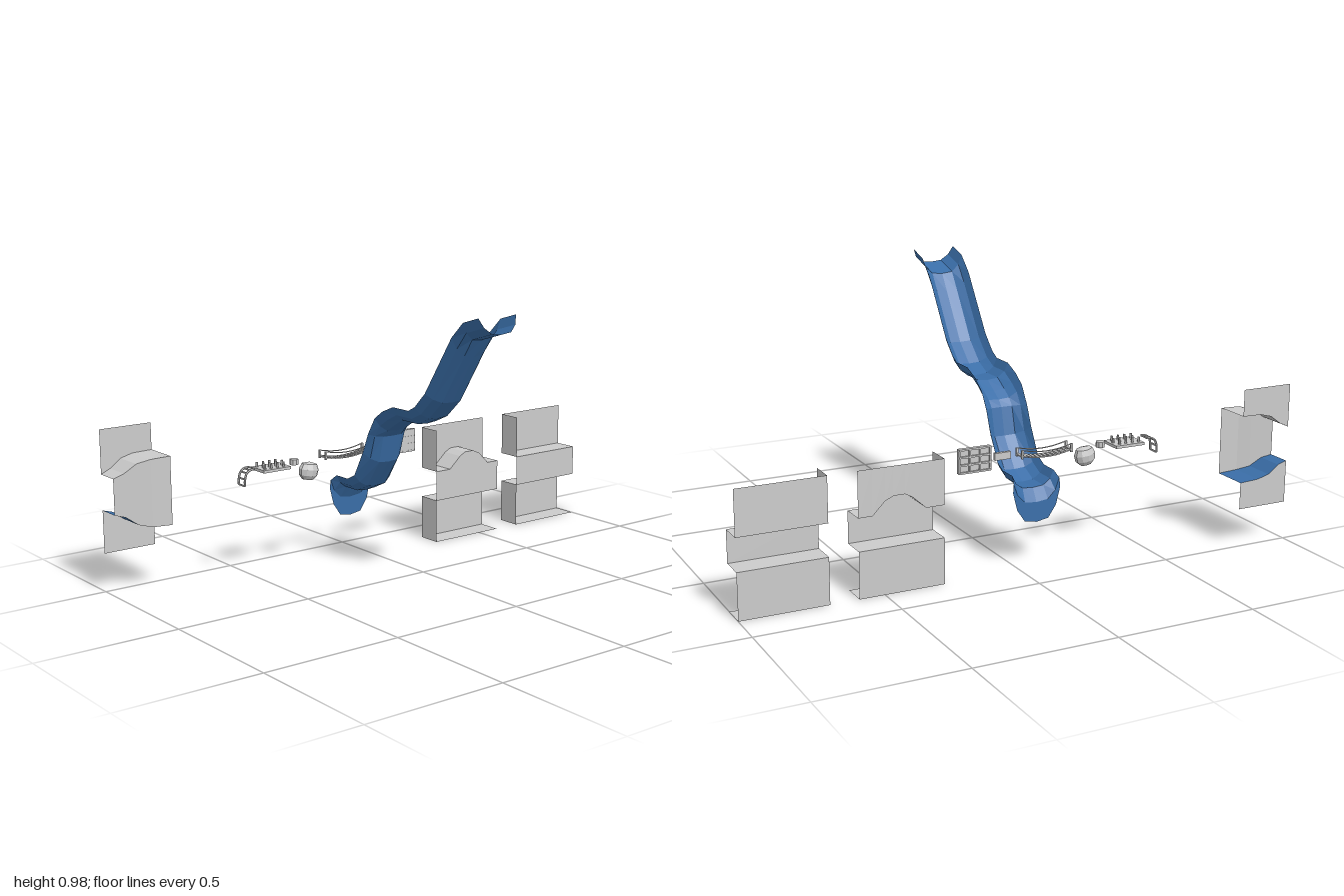
import * as THREE from 'three';

const material = (color) => new THREE.MeshStandardMaterial({ color, flatShading: true, side: THREE.DoubleSide });
const grey = material(0xcccccc);
const blue = material(0x3a6ea8);

// Surface through rows of points (all rows equally long)
function sheet(name, rows, mat = grey) {
  const n = rows[0].length, index = [];
  for (let r = 0; r < rows.length - 1; r++) {
    for (let c = 0; c < n - 1; c++) {
      const a = r * n + c, b = a + n;
      index.push(a, a + 1, b, a + 1, b + 1, b);
    }
  }
  const geo = new THREE.BufferGeometry();
  geo.setAttribute('position', new THREE.Float32BufferAttribute(rows.flat(2), 3));
  geo.setIndex(index);
  geo.computeVertexNormals();
  const mesh = new THREE.Mesh(geo, mat);
  mesh.name = name;
  return mesh;
}

function add(parent, name, geo, x, y, z) {
  const mesh = new THREE.Mesh(geo, grey);
  mesh.name = name;
  mesh.position.set(x, y, z);
  parent.add(mesh);
  return mesh;
}
const box = (parent, name, w, h, d, x, y, z) => add(parent, name, new THREE.BoxGeometry(w, h, d), x, y, z);

function tube(parent, name, points, radius) {
  const curve = new THREE.CatmullRomCurve3(points.map((p) => new THREE.Vector3(...p)));
  return add(parent, name, new THREE.TubeGeometry(curve, 12, radius, 6), 0, 0, 0);
}

function group(parent, name) {
  const g = new THREE.Group();
  g.name = name;
  parent.add(g);
  return g;
}

// Open wavy chute: each station gives rim z, y, bottom z, y and a width factor
function buildSlide(parent) {
  const stations = [
    [0.475, 0.98, 0.499, 0.924, 1], [0.4, 0.958, 0.4, 0.895, 1], [0.342, 0.903, 0.36, 0.834, 1],
    [0.203, 0.698, 0.25, 0.666, 1], [0.148, 0.644, 0.177, 0.6, 1], [0.113, 0.626, 0.113, 0.572, 1],
    [0.028, 0.626, 0.028, 0.572, 1], [-0.031, 0.602, -0.02, 0.543, 1], [-0.078, 0.57, -0.057, 0.52, 1],
    [-0.118, 0.506, -0.078, 0.498, 1], [-0.15, 0.434, -0.102, 0.4, 1], [-0.201, 0.343, -0.177, 0.298, 1],
    [-0.244, 0.322, -0.238, 0.27, 1], [-0.312, 0.322, -0.312, 0.27, 1],
    // hanging lip at the exit
    [-0.338, 0.3, -0.338, 0.225, 1.1], [-0.34, 0.27, -0.34, 0.155, 1.14],
  ];
  const profile = [[-0.08, 0], [-0.066, 0.55], [-0.04, 0.93], [0, 1], [0.04, 0.93], [0.066, 0.55], [0.08, 0]];
  const rows = stations.map(([rz, ry, bz, by, w]) => profile.map(([x, t]) =>
    [-0.075 + x * w, ry + (by - ry) * t, rz + (bz - rz) * t]));
  parent.add(sheet('slide', rows, blue));
}

// Stepped wall: the middle band stands forward; its upper edge follows top
function buildWall(parent, name, top) {
  const g = group(parent, name), back = -0.365, front = -0.275;
  const rows = top.map(([x, y]) => [
    [x, 0, front], [x, 0, back], [x, 0.163, back], [x, 0.163, front],
    [x, y, front], [x, y, back], [x, 0.436, back],
  ]);
  g.add(sheet('steppedPanel', rows));
  const x = top[0][0];
  for (const [y0, y1] of [[0, 0.163], [0.277, 0.436]]) {
    g.add(sheet('endWall', [[[x, y0, back], [x, y0, front]], [[x, y1, back], [x, y1, front]]]));
  }
}

// Wall whose forward band narrows towards one side
function buildTaperedWall(parent) {
  const g = group(parent, 'taperedWall'), back = -0.497;
  // x, band bottom, band top, band front
  const s = [[-1, 0.29, 0.416, -0.41], [-0.965, 0.28, 0.432, -0.398], [-0.925, 0.25, 0.462, -0.385],
    [-0.88, 0.238, 0.474, -0.369], [-0.805, 0.234, 0.476, -0.367]];
  g.add(sheet('lowerPanel', s.map(([x, a]) => [[x, 0.137, back], [x, a, back]])));
  g.add(sheet('lowerLedge', s.map(([x, a, b, z]) => [[x, a, back], [x, a, z]]), blue));
  g.add(sheet('upperPanels', s.map(([x, a, b, z]) =>
    [[x, a, z], [x, b, z], [x, b, back], [x, 0.572, back]])));
}

// Sagging plank bridge with rope rails
function buildBridge(parent) {
  const g = group(parent, 'plankBridge');
  const x0 = -0.205, x1 = -0.015, planks = 13;
  const at = (t) => [x0 + (x1 - x0) * t, 0.397 - 0.05 * t * (1 - t)];
  for (let i = 0; i < planks; i++) {
    const [x, y] = at(i / (planks - 1));
    box(g, 'plank', 0.01, 0.005, 0.036, x, y, -0.326);
  }
  for (const z of [-0.345, -0.307]) {
    for (const lift of [0, 0.02]) {
      tube(g, 'rope', [0, 0.25, 0.5, 0.75, 1].map((t) => [at(t)[0], at(t)[1] + lift, z]), 0.002);
    }
    for (const x of [x0, x1]) box(g, 'post', 0.007, 0.03, 0.007, x, 0.403, z);
  }
}

// Curved ladder bending over at the top
function buildLadder(parent) {
  const g = group(parent, 'curvedLadder');
  const pts = [[-0.549, 0.342], [-0.548, 0.366], [-0.54, 0.387], [-0.526, 0.396], [-0.508, 0.398]];
  for (const z of [-0.347, -0.307]) tube(g, 'rail', pts.map(([x, y]) => [x, y, z]), 0.004);
  for (const [x, y] of pts) box(g, 'rung', 0.005, 0.005, 0.04, x, y, -0.327);
}

// Thin plate with scattered pegs
function buildPegBoard(parent) {
  const g = group(parent, 'pegBoard');
  box(g, 'plate', 0.113, 0.01, 0.084, -0.427, 0.387, -0.326);
  for (let row = 0; row < 3; row++) {
    for (let i = 0; i < 4; i++) {
      add(g, 'peg', new THREE.CylinderGeometry(0.004, 0.005, 0.018, 6),
        -0.47 + i * 0.026 + (row % 2) * 0.01, 0.4, -0.352 + row * 0.026);
    }
  }
}

// Framed climbing panel with a short connecting board
function buildClimbingPanel(parent) {
  const g = group(parent, 'climbingPanel');
  box(g, 'panel', 0.118, 0.084, 0.008, 0.156, 0.404, -0.324);
  for (const y of [0.364, 0.391, 0.418, 0.444]) box(g, 'crossBar', 0.118, 0.006, 0.016, 0.156, y, -0.327);
  for (const x of [0.099, 0.137, 0.175, 0.213]) box(g, 'upright', 0.006, 0.084, 0.014, x, 0.404, -0.327);
  box(g, 'shortBoard', 0.06, 0.025, 0.012, 0.05, 0.403, -0.324);
}

// Rounded tub with a small drum beside it
function buildTub(parent) {
  const g = group(parent, 'tub');
  const profile = [[0, -0.033], [0.022, -0.031], [0.036, -0.016], [0.039, 0.006], [0.03, 0.026], [0, 0.033]];
  const body = add(g, 'tubBody', new THREE.LatheGeometry(profile.map((p) => new THREE.Vector2(...p)), 10),
    -0.277, 0.357, -0.313);
  body.scale.z = 0.75;
  body.rotation.z = -0.15;
  add(g, 'drum', new THREE.CylinderGeometry(0.016, 0.016, 0.02, 8), -0.33, 0.395, -0.327);
}

export function createModel() {
  const model = new THREE.Group();
  model.name = 'playgroundParts';
  buildSlide(model);
  buildWall(model, 'straightWall', [[0.692, 0.277], [1, 0.277]]);
  buildWall(model, 'archedWall', [[0.284, 0.277], [0.35, 0.277], [0.4, 0.322], [0.425, 0.335],
    [0.465, 0.335], [0.495, 0.322], [0.54, 0.277], [0.59, 0.277]]);
  buildTaperedWall(model);
  buildBridge(model);
  buildLadder(model);
  buildPegBoard(model);
  buildClimbingPanel(model);
  buildTub(model);
  return model;
}
